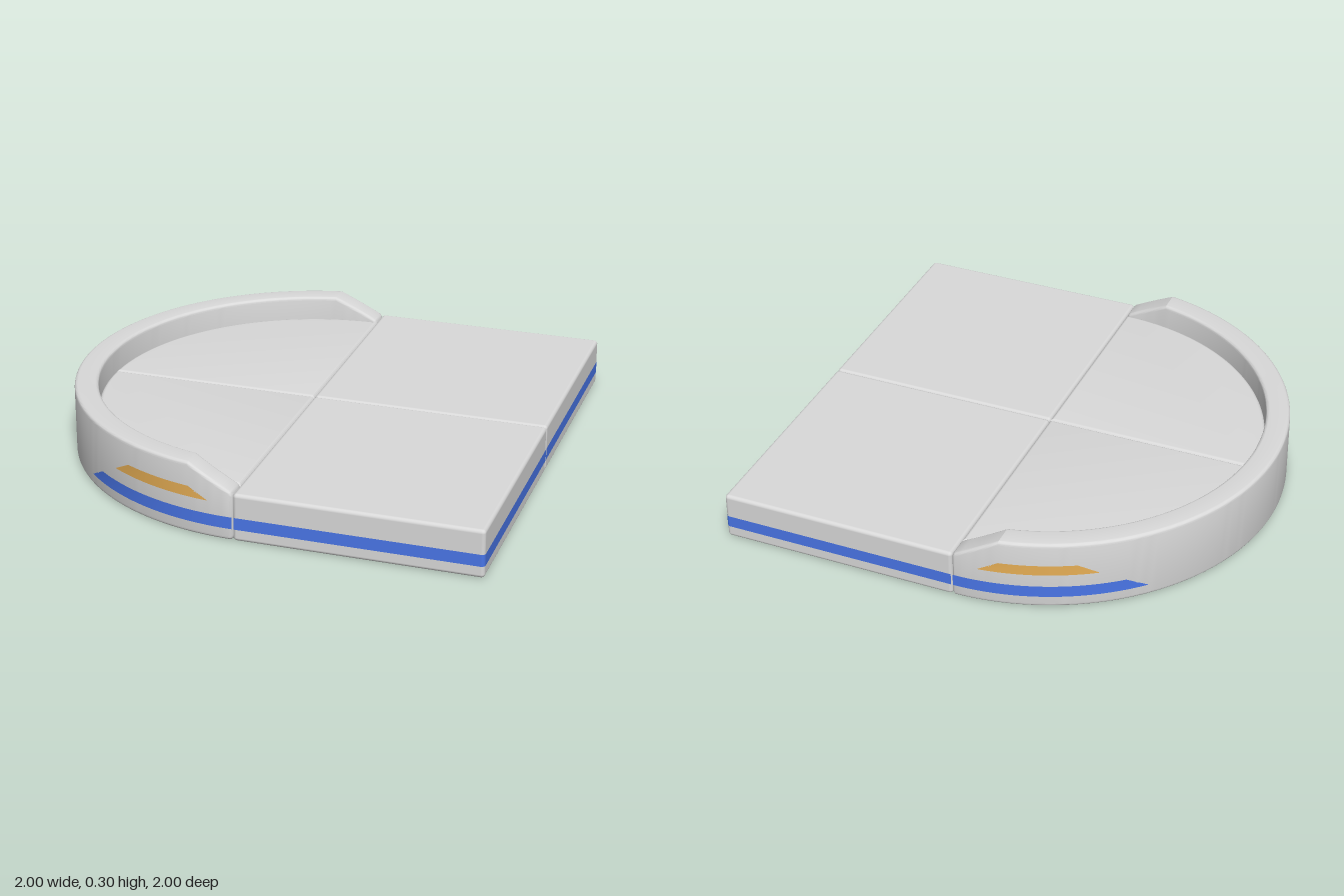
import * as THREE from 'three';
import { toCreasedNormals } from 'three/addons/utils/BufferGeometryUtils.js';
import { RoundedBoxGeometry } from 'three/addons/geometries/RoundedBoxGeometry.js';

const B = 0.015;      // edge rounding
const FLOOR = 0.2;    // tile height
const WALL = 0.3;     // rim height
const RAMP = 0.19;    // length of the sloped rim ends
const LIFT = 0.001;   // height of painted strips above the surface

const grey = new THREE.MeshStandardMaterial({ name: 'stoneGrey', color: 0xd9d9d9 });
const blue = new THREE.MeshStandardMaterial({ name: 'stripeBlue', color: 0x4b78ec, side: THREE.DoubleSide });
const orange = new THREE.MeshStandardMaterial({ name: 'markOrange', color: 0xe6ae55, side: THREE.DoubleSide });

function add(group, name, geometry, material) {
  const mesh = new THREE.Mesh(geometry, material);
  mesh.name = name;
  group.add(mesh);
  return mesh;
}

function buildGeometry(positions, index) {
  const g = new THREE.BufferGeometry();
  g.setAttribute('position', new THREE.Float32BufferAttribute(positions, 3));
  g.setIndex(index);
  g.computeVertexNormals();
  return g;
}

// Quarter disc with rounded edges, filling the floor inside the rim
function quarterTile(start) {
  const s = new THREE.Shape();
  s.moveTo(0, 0);
  s.lineTo(0.9 * Math.cos(start), 0.9 * Math.sin(start));
  s.absarc(0, 0, 0.9, start, start + Math.PI / 2, false);
  s.lineTo(0, 0);
  const g = new THREE.ExtrudeGeometry(s, {
    depth: FLOOR - 2 * B, curveSegments: 48,
    bevelSize: B, bevelThickness: B, bevelOffset: -B, bevelSegments: 4,
  });
  g.rotateX(-Math.PI / 2).translate(0, B, 0);
  return toCreasedNormals(g, 0.5);
}

// Half-ring wall: rounded rectangular sections, sloped down at both ends
function rimGeometry() {
  const SEG = 5, MAIN = 96;
  const stations = [];
  for (let i = 0; i <= SEG; i++) {
    const a = (i / SEG) * Math.PI / 2;
    stations.push({ s: B * (1 - Math.cos(a)), inset: B * (1 - Math.sin(a)) });
  }
  for (let i = 1; i <= 6; i++) stations.push({ s: B + (RAMP - B) * i / 6, inset: 0 });
  const ends = stations.map((st) => ({ ...st, back: true })).reverse();
  for (let i = 1; i < MAIN; i++) stations.push({ t: i / MAIN, inset: 0 });
  stations.push(...ends);

  const corners = [[1, 0, -Math.PI / 2], [1, 1, 0], [0, 1, Math.PI / 2], [0, 0, Math.PI]];
  const n = corners.length * (SEG + 1);
  const pos = [], idx = [];
  for (const { s, t, inset, back } of stations) {
    for (const [out, top, a0] of corners) {
      for (let k = 0; k <= SEG; k++) {
        const a = a0 + (k / SEG) * Math.PI / 2;
        const r = (out ? 1 - inset - B : 0.9 + inset + B) + B * Math.cos(a);
        // angle from the front end; ramp stations lie in planes of constant x
        const edge = Math.asin(RAMP / r);
        let phi = t !== undefined ? edge + t * (Math.PI - 2 * edge) : Math.asin(s / r);
        if (back) phi = Math.PI - phi;
        const x = r * Math.sin(phi);
        const h = FLOOR + (WALL - FLOOR) * Math.min(1, x / RAMP);
        const y = (top ? h - inset - B : inset + B) + B * Math.sin(a);
        pos.push(-x, y, r * Math.cos(phi));
      }
    }
  }
  const last = (stations.length - 1) * n;
  for (let i = 0; i < stations.length - 1; i++) {
    for (let j = 0; j < n; j++) {
      const a = i * n + j, b = i * n + (j + 1) % n;
      idx.push(a, b, a + n, b, b + n, a + n);
    }
  }
  for (let j = 1; j < n - 1; j++) {
    idx.push(0, j + 1, j);
    idx.push(last, last + j, last + j + 1);
  }
  // make sure the surface faces outwards
  let volume = 0;
  const v = (i) => new THREE.Vector3().fromArray(pos, i * 3);
  for (let i = 0; i < idx.length; i += 3) volume += v(idx[i]).dot(v(idx[i + 1]).cross(v(idx[i + 2])));
  if (volume < 0) idx.reverse();
  return toCreasedNormals(buildGeometry(pos, idx), 0.4);
}

// Strip between a lower and an upper line of [x, y, z] points
function strip(lower, upper) {
  const pos = [], idx = [];
  lower.forEach((p, i) => {
    pos.push(...p, ...upper[i]);
    if (i) idx.push(2 * i - 2, 2 * i, 2 * i - 1, 2 * i, 2 * i + 1, 2 * i - 1);
  });
  return buildGeometry(pos, idx);
}

// Painted strip on the outside of the rim, with slanted ends
function rimStrip([x0, x1], y0, [u0, u1], y1, side) {
  const R = 1 + LIFT, N = 32;
  const line = (a, b, y) => Array.from({ length: N + 1 }, (_, i) => {
    const x = a + (b - a) * i / N;
    return [x, y, side * Math.sqrt(R * R - x * x)];
  });
  return strip(line(x0, x1, y0), line(u0, u1, y1));
}

// Painted stripe around the outer corner of a square tile
function tileStrip(side) {
  const path = [[0.004, 1 + LIFT]];
  for (let i = 0; i <= 5; i++) {
    const a = (1 - i / 5) * Math.PI / 2;
    path.push([1 - B + (B + LIFT) * Math.cos(a), 1 - B + (B + LIFT) * Math.sin(a)]);
  }
  path.push([1 + LIFT, 0.004]);
  const at = (y) => path.map(([x, z]) => [x, y, z * side]);
  return strip(at(0.05), at(0.1));
}

export function createModel() {
  const model = new THREE.Group();
  model.name = 'roundedPlatform';

  add(model, 'rim', rimGeometry(), grey);

  for (const [label, side] of [['front', 1], ['back', -1]]) {
    const square = add(model, label + 'SquareTile', new RoundedBoxGeometry(1, FLOOR, 1, 4, B), grey);
    square.position.set(0.5, FLOOR / 2, side * 0.5);
    add(model, label + 'QuarterTile', quarterTile(side > 0 ? Math.PI : Math.PI / 2), grey);
    add(model, label + 'TileStripe', tileStrip(side), blue);
    add(model, label + 'RimStripe', rimStrip([-0.71, -0.004], 0.05, [-0.64, -0.004], 0.1, side), blue);
    add(model, label + 'RimMark', rimStrip([-0.555, -0.105], 0.155, [-0.48, -0.19], 0.2, side), orange);
  }
  return model;
}
